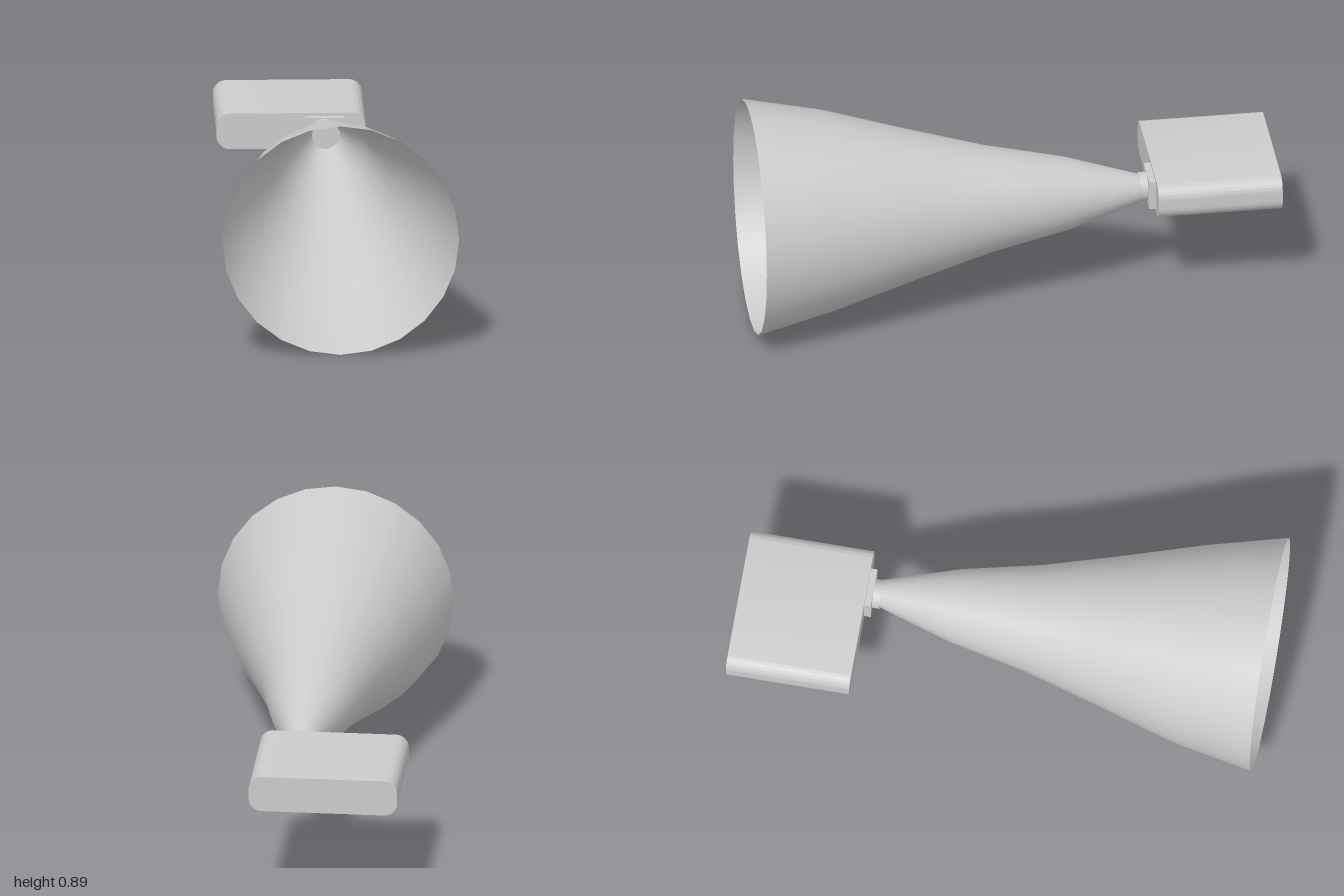
import * as THREE from 'three';
import { toCreasedNormals } from 'three/addons/utils/BufferGeometryUtils.js';

const AXIS_X = -0.01, AXIS_Y = 0.447;
const grey = new THREE.MeshStandardMaterial({ color: 0xcccccc });
const greyOpen = new THREE.MeshStandardMaterial({ color: 0xcccccc, side: THREE.DoubleSide });

function add(group, name, geometry, x, y, z, material = grey) {
  const mesh = new THREE.Mesh(geometry, material);
  mesh.name = name;
  mesh.position.set(x, y, z);
  group.add(mesh);
  return mesh;
}

function roundedRect(w, h, r) {
  const s = new THREE.Shape(), x = w / 2, y = h / 2;
  s.absarc(x - r, y - r, r, 0, Math.PI / 2);
  s.absarc(-x + r, y - r, r, Math.PI / 2, Math.PI);
  s.absarc(-x + r, -y + r, r, Math.PI, Math.PI * 1.5);
  s.absarc(x - r, -y + r, r, Math.PI * 1.5, Math.PI * 2);
  s.closePath();
  return s;
}

export function createModel() {
  const group = new THREE.Group();

  // Open flared horn: [radius, z] rings, narrow to wide
  const rings = [[0.052, -0.48], [0.138, -0.2], [0.203, 0.1], [0.288, 0.4], [0.378, 0.7], [0.445, 1]];
  const horn = new THREE.LatheGeometry(rings.map(([r, z]) => new THREE.Vector2(r, z)), 24);
  horn.rotateX(Math.PI / 2);
  // The mouth ring sits slightly to the side of the horn's axis
  const p = horn.attributes.position;
  for (let i = 0; i < p.count; i++) if (p.getZ(i) > 0.99) p.setX(i, p.getX(i) - AXIS_X);
  add(group, 'horn', horn, AXIS_X, AXIS_Y, 0, greyOpen);

  // Short round neck closing the narrow end
  const neck = new THREE.CylinderGeometry(0.055, 0.055, 0.035, 32);
  neck.rotateX(Math.PI / 2);
  add(group, 'neck', neck, AXIS_X - 0.005, AXIS_Y + 0.002, -0.4925);

  // Mounting plate between neck and body
  add(group, 'mountingPlate', new THREE.BoxGeometry(0.15, 0.115, 0.03), -0.015, AXIS_Y + 0.002, -0.52);

  // Flat body with rounded long edges
  const body = new THREE.ExtrudeGeometry(roundedRect(0.56, 0.138, 0.05),
    { depth: 0.47, bevelEnabled: false, curveSegments: 10 });
  add(group, 'body', toCreasedNormals(body, 0.6), -0.14, 0.45, -1);

  return group;
}
